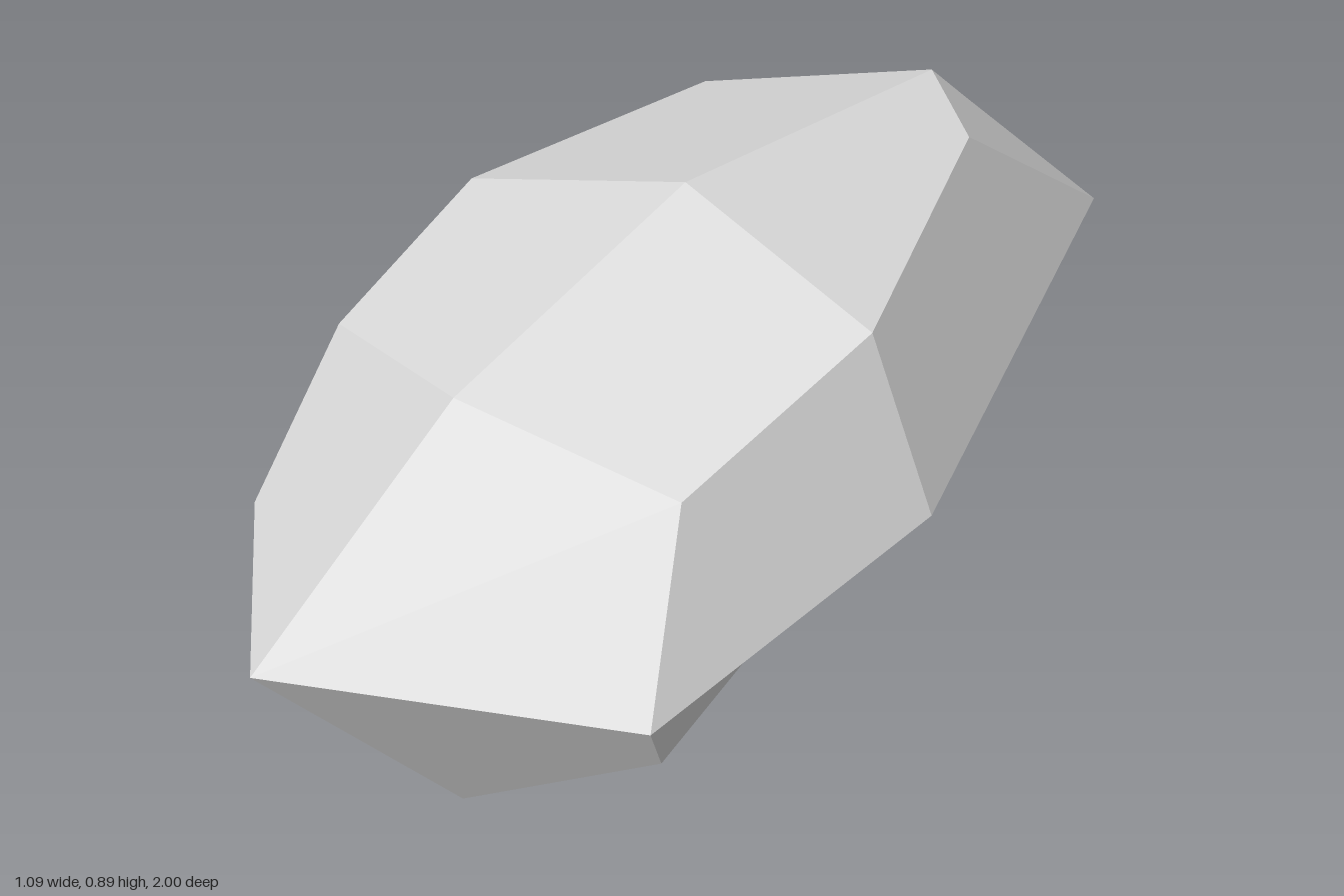
import * as THREE from 'three';

// Each ring runs front, front-left, left, back-left, back, back-right, right, front-right
// (the model's own left is +x).
const topRing = [
  [0.058, 0.782, 0.66], [0.405, 0.722, 0.57], [0.438, 0.825, 0.2], [0.21, 0.82, -0.33],
  [-0.02, 0.77, -0.535], [-0.34, 0.72, -0.32], [-0.355, 0.77, 0.22], [-0.275, 0.715, 0.58],
];
const middleRing = [
  [-0.033, 0.435, 1.0], [0.45, 0.403, 0.69], [0.544, 0.537, 0.18], [0.187, 0.498, -0.75],
  [-0.28, 0.418, -1.0], [-0.46, 0.38, -0.48], [-0.546, 0.38, 0.33], [-0.37, 0.4, 0.705],
];
const bottomRing = [
  [0.045, 0.018, 0.69], [0.362, 0.21, 0.575], [0.37, 0.375, 0.2], [0.183, 0.198, -0.455],
  [-0.025, 0, -0.39], [-0.308, 0.057, -0.22], [-0.355, 0.022, 0.25], [-0.282, 0.072, 0.59],
];
const topCentre = [0.038, 0.89, 0.15];
const bottomCentre = [0.06, 0.069, 0.2];

// Facets that fold along their second diagonal
const foldedLower = [1, 4], foldedUpper = [3], foldedTop = [1], foldedBottom = [7];

// Four-cornered facets folded from first to third corner, each with a single flat normal
function facetGeometry(quads) {
  const positions = [], normals = [], index = [];
  quads.forEach((quad, n) => {
    const [a, b, c, d] = quad.map((p) => new THREE.Vector3(...p));
    const normal = c.clone().sub(a).cross(d.clone().sub(b)).normalize();
    for (const p of [a, b, c, d]) {
      positions.push(p.x, p.y, p.z);
      normals.push(normal.x, normal.y, normal.z);
    }
    const o = n * 4;
    index.push(o, o + 1, o + 2, o, o + 2, o + 3);
  });
  const geometry = new THREE.BufferGeometry();
  geometry.setAttribute('position', new THREE.Float32BufferAttribute(positions, 3));
  geometry.setAttribute('normal', new THREE.Float32BufferAttribute(normals, 3));
  geometry.setIndex(index);
  return geometry;
}

export function createModel() {
  const stone = new THREE.MeshStandardMaterial({ color: 0xdbdbdb });
  stone.name = 'stone grey';

  const quads = [];
  const addFacet = (a, b, c, d, folded) => quads.push(folded ? [b, c, d, a] : [a, b, c, d]);

  // Sides: two bands of facets between the rings
  const bands = [[bottomRing, middleRing, foldedLower], [middleRing, topRing, foldedUpper]];
  for (const [low, high, folded] of bands) {
    for (let i = 0; i < 8; i++) {
      const j = (i + 1) % 8;
      addFacet(low[i], low[j], high[j], high[i], folded.includes(i));
    }
  }
  // Top and underside: four facets around each centre
  for (let i = 1; i < 8; i += 2) {
    const j = (i + 1) % 8;
    addFacet(topCentre, topRing[i - 1], topRing[i], topRing[j], foldedTop.includes(i));
    addFacet(bottomCentre, bottomRing[j], bottomRing[i], bottomRing[i - 1], foldedBottom.includes(i));
  }

  const rock = new THREE.Mesh(facetGeometry(quads), stone);
  rock.name = 'rock';

  const model = new THREE.Group();
  model.name = 'boulder';
  model.add(rock);
  return model;
}
